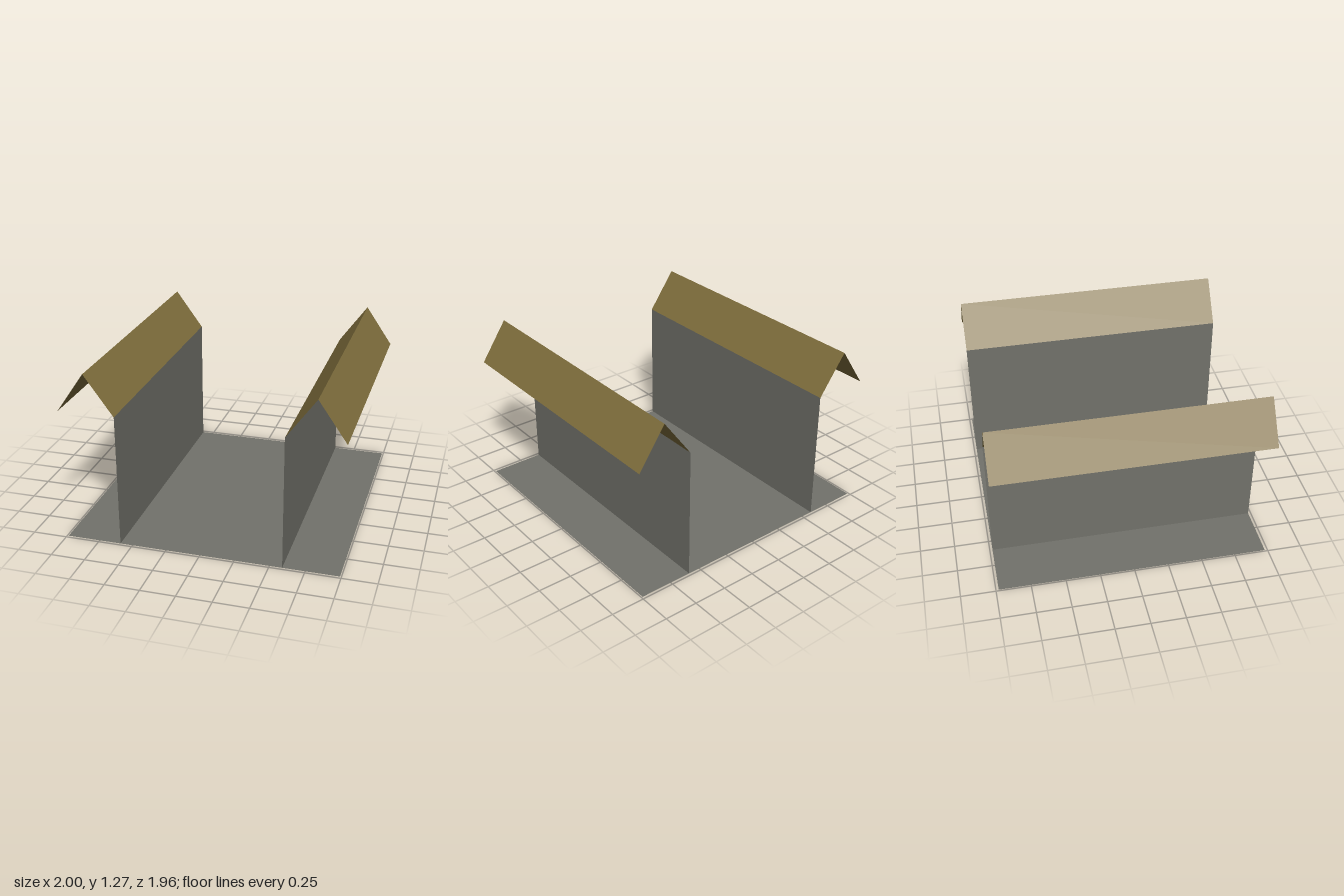
import * as THREE from 'three';

const sheetMaterial = (name, color) => {
  const m = new THREE.MeshStandardMaterial({ color, side: THREE.DoubleSide });
  m.name = name;
  return m;
};

// Flat sheet spanning z, running between two points [x, y] of the cross-section
function sheet(name, [x0, y0], [x1, y1], material) {
  const depth = 1.96;
  const geometry = new THREE.PlaneGeometry(Math.hypot(x1 - x0, y1 - y0), depth);
  geometry.rotateX(-Math.PI / 2);
  geometry.rotateZ(Math.atan2(y1 - y0, x1 - x0));
  geometry.translate((x0 + x1) / 2, (y0 + y1) / 2, 0);
  const mesh = new THREE.Mesh(geometry, material);
  mesh.name = name;
  return mesh;
}

export function createModel() {
  const stone = sheetMaterial('grey stone', 0x72726b);
  const thatch = sheetMaterial('ochre roofing', 0x806f3d);
  const model = new THREE.Group();
  model.name = 'twinRoofedWalls';

  // Ground slab
  model.add(sheet('floor', [-0.99, 0], [0.99, 0], stone));

  // A wall with a gabled canopy leaning outwards on each side
  for (const [side, s] of [['left', 1], ['right', -1]]) {
    const wallTop = [s * 0.59, 0.98];
    const ridge = [s * 0.8, 1.27];
    const eave = [s * 1.0, 0.98];
    const flip = (name, a, b, m) => (s > 0 ? sheet(name, a, b, m) : sheet(name, b, a, m));
    model.add(
      sheet(side + 'Wall', [s * 0.59, 0], wallTop, stone),
      flip(side + 'InnerRoof', wallTop, ridge, thatch),
      flip(side + 'OuterRoof', ridge, eave, thatch)
    );
  }
  return model;
}
